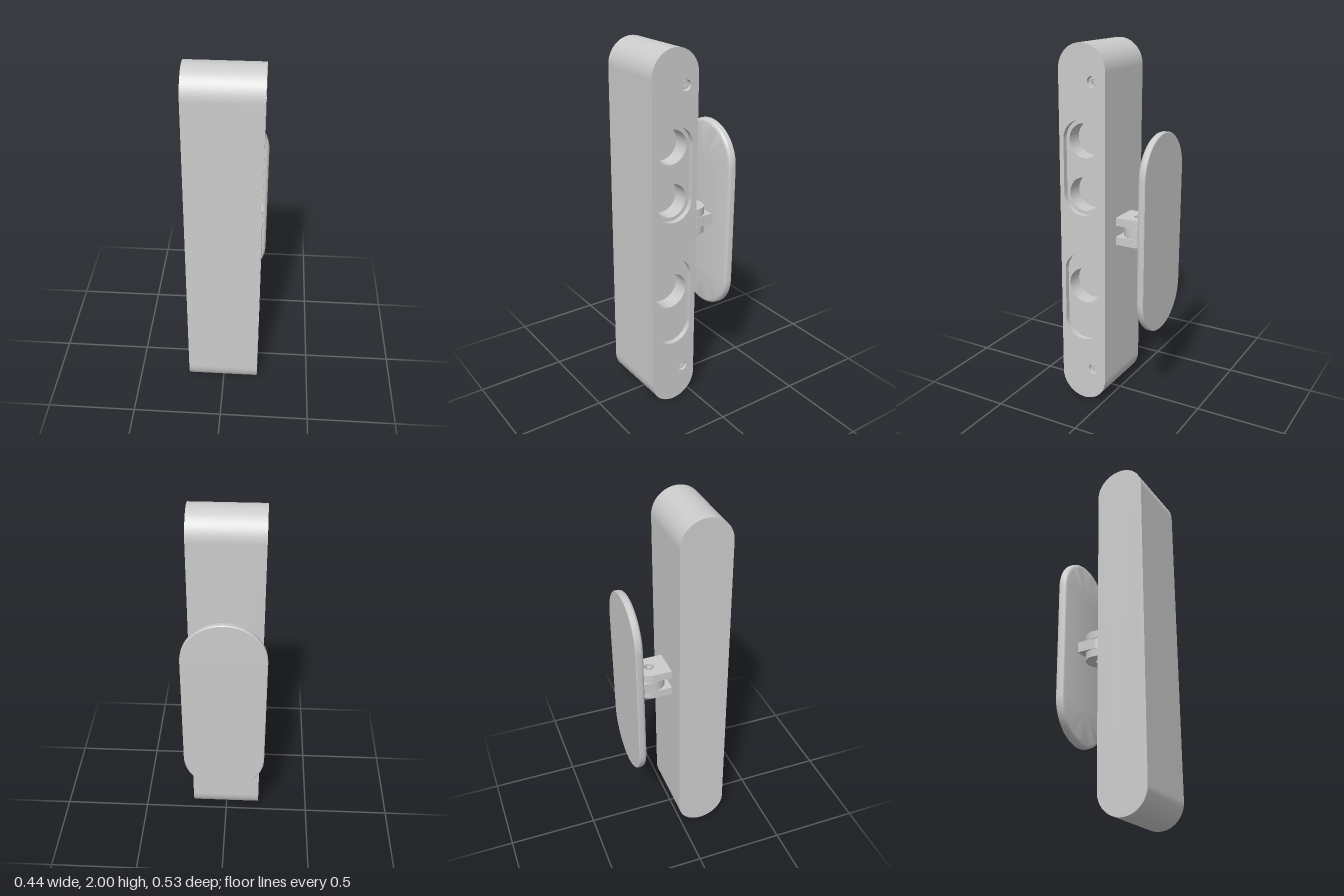
import * as THREE from 'three';
import { toCreasedNormals } from 'three/addons/utils/BufferGeometryUtils.js';

const material = new THREE.MeshStandardMaterial({ color: 0xcccccc });

function addMesh(parent, name, geometry) {
  const mesh = new THREE.Mesh(geometry, material);
  mesh.name = name;
  parent.add(mesh);
  return mesh;
}

// Vertical stadium outline centred at (u, v); straight = half distance between arc centres
function stadium(u, v, r, straight, Type = THREE.Shape) {
  const s = new Type();
  s.absarc(u, v + straight, r, 0, Math.PI, false);
  s.absarc(u, v - straight, r, Math.PI, 2 * Math.PI, false);
  s.closePath();
  return s;
}

function circle(u, v, r) {
  const p = new THREE.Path();
  p.absarc(u, v, r, 0, 2 * Math.PI, false);
  return p;
}

// Side profile (u = -z, v = y) extruded along x from x0 to x1
function slab(shape, x0, x1, curveSegments = 20) {
  const g = new THREE.ExtrudeGeometry(shape, { depth: x1 - x0, bevelEnabled: false, curveSegments });
  return g.translate(0, 0, x0).rotateY(Math.PI / 2);
}

// Plan profile (u = x, v = -z) extruded along y from y0 to y1
function plank(shape, y0, y1) {
  const g = new THREE.ExtrudeGeometry(shape, { depth: y1 - y0, bevelEnabled: false, curveSegments: 24 });
  return g.translate(0, 0, y0).rotateX(-Math.PI / 2);
}

const BODY_U = -0.119;   // body axis
const SLOT_U = -0.121;   // axis of the recesses
const SCREW_U = -0.057;
const SCREWS = [1.81, 0.196];

function makeBody() {
  const body = new THREE.Group();
  body.name = 'body';
  const outline = () => stadium(BODY_U, 1, 0.1385, 0.8615);

  // solid core
  addMesh(body, 'bodyCore', slab(outline(), -0.2, 0.08));

  // layer with the deep round sockets
  const sockets = outline();
  sockets.holes.push(circle(SLOT_U, 1.498, 0.092), circle(SLOT_U, 1.21, 0.092), circle(SLOT_U, 0.684, 0.1));
  addMesh(body, 'socketLayer', slab(sockets, 0.08, 0.17));

  // outer layer with shallow slots and screw holes
  const face = outline();
  face.holes.push(
    stadium(SLOT_U, 1.355, 0.111, 0.146, THREE.Path),
    stadium(SLOT_U, 0.625, 0.111, 0.144, THREE.Path),
    ...SCREWS.map((y) => circle(SCREW_U, y, 0.029)));
  addMesh(body, 'slotLayer', slab(face, 0.17, 0.2));

  // recessed screw heads with a cross socket
  for (const y of SCREWS) {
    const head = new THREE.Shape();
    head.absarc(SCREW_U, y, 0.023, 0, 2 * Math.PI, false);
    const cross = new THREE.Path();
    const a = 0.004, b = 0.013;
    const pts = [[b, -a], [b, a], [a, a], [a, b], [-a, b], [-a, a], [-b, a], [-b, -a],
      [-a, -a], [-a, -b], [a, -b], [a, -a]];
    cross.setFromPoints(pts.map(([p, q]) => new THREE.Vector2(SCREW_U + p, y + q)));
    head.holes.push(cross);
    addMesh(body, 'screwHead', slab(head, 0.17, 0.19, 12));
  }
  return body;
}

function makeHinge() {
  const hinge = new THREE.Group();
  hinge.name = 'hinge';
  const r = 0.083, pivot = 0.12;

  // two ears fixed to the body
  const ear = new THREE.Shape();
  ear.moveTo(-r, 0);
  ear.lineTo(r, 0);
  ear.absarc(0, pivot, r, 0, Math.PI, false);
  ear.closePath();
  ear.holes.push(circle(0, pivot, 0.028));
  addMesh(hinge, 'lowerEar', plank(ear, 0.923, 0.968));
  addMesh(hinge, 'upperEar', plank(ear, 1.032, 1.077));

  // tongue fixed to the plate
  const tongue = new THREE.Shape();
  tongue.moveTo(r, 0.225);
  tongue.lineTo(-r, 0.225);
  tongue.absarc(0, pivot, r, Math.PI, 2 * Math.PI, false);
  tongue.closePath();
  tongue.holes.push(circle(0, pivot, 0.028));
  addMesh(hinge, 'tongue', plank(tongue, 0.97, 1.03));

  const pin = addMesh(hinge, 'hingePin', new THREE.CylinderGeometry(0.011, 0.011, 0.15, 20));
  pin.position.set(0, 1, -pivot);
  return hinge;
}

// Stadium plate lofted from inset outlines: flat back, rounded front rim
function makePlate() {
  const R = 0.222, straight = 0.332, half = 24, n = 2 * (half + 1), fillet = 0.022, front = -0.217;
  const profile = [[0, -0.262], [R - 0.004, -0.262], [R, -0.258]];
  for (let k = 0; k <= 6; k++) {
    const t = (k / 6) * Math.PI / 2;
    profile.push([R - fillet * (1 - Math.cos(t)), front - fillet * (1 - Math.sin(t))]);
  }
  profile.push([0, front]);

  const positions = [], index = [];
  profile.forEach(([r, z], k) => {
    for (let i = 0; i < n; i++) {
      const upper = i <= half;
      const a = Math.PI * (upper ? i / half : 1 + (i - half - 1) / half);
      positions.push(r * Math.cos(a), 1 + r * Math.sin(a) + (upper ? straight : -straight), z);
      if (k === 0) continue;
      const j = (i + 1) % n, p = (k - 1) * n, q = k * n;
      index.push(p + i, p + j, q + j, p + i, q + j, q + i);
    }
  });
  const g = new THREE.BufferGeometry();
  g.setAttribute('position', new THREE.Float32BufferAttribute(positions, 3));
  g.setIndex(index);
  return toCreasedNormals(g, 0.6);
}

export function createModel() {
  const model = new THREE.Group();
  model.name = 'wallMountedBar';

  // everything leans back very slightly about mid height
  const lean = new THREE.Group();
  lean.name = 'leaningAssembly';
  lean.position.y = 1;
  lean.rotation.x = -0.0075;
  model.add(lean);

  const parts = new THREE.Group();
  parts.name = 'assembly';
  parts.position.y = -1;
  lean.add(parts);

  parts.add(makeBody(), makeHinge());
  addMesh(parts, 'mountingPlate', makePlate());
  return model;
}
